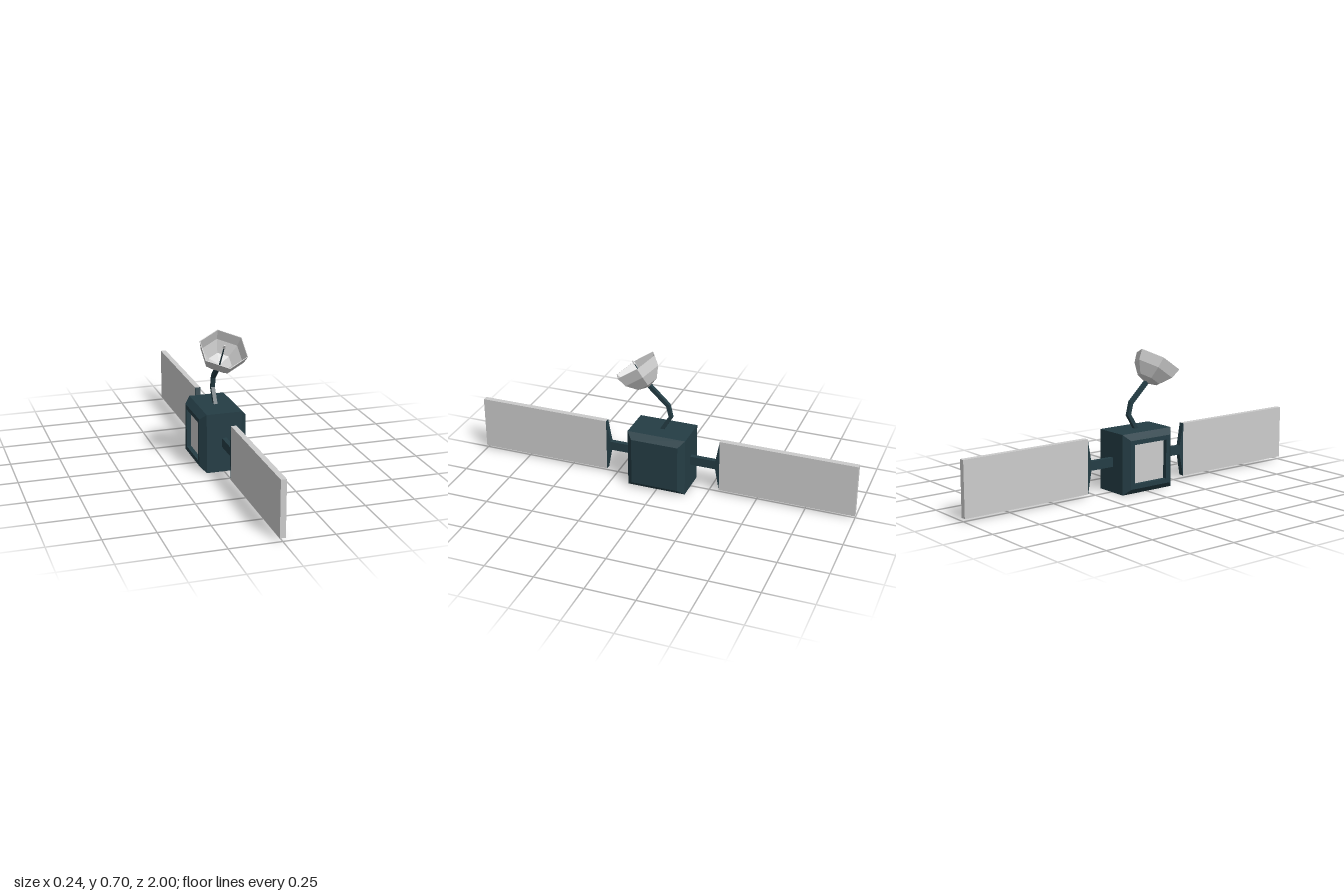
import * as THREE from 'three';

const dark = new THREE.MeshStandardMaterial({ color: 0x243d45, flatShading: true });
const grey = new THREE.MeshStandardMaterial({ color: 0xcccccc, flatShading: true });
const V = (x, y, z) => new THREE.Vector3(x, y, z);

function add(parent, name, geometry, material, x = 0, y = 0, z = 0) {
  const mesh = new THREE.Mesh(geometry, material);
  mesh.name = name;
  mesh.position.set(x, y, z);
  parent.add(mesh);
  return mesh;
}

// Rectangle around c; the loft advances along u x v
function rect(c, u, v, hu, hv) {
  return [[1, 1], [-1, 1], [-1, -1], [1, -1]].map(([a, b]) =>
    c.clone().addScaledVector(u, a * hu).addScaledVector(v, b * hv));
}

// Skin a run of four-cornered rings and cap both ends
function loft(rings) {
  const points = [];
  const quad = (a, b, c, d) => points.push(a, b, c, a, c, d);
  for (let i = 0; i < rings.length - 1; i++) {
    const r = rings[i], s = rings[i + 1];
    for (let j = 0; j < 4; j++) {
      const k = (j + 1) % 4;
      quad(r[j], r[k], s[k], s[j]);
    }
  }
  quad(...[...rings[0]].reverse());
  quad(...rings[rings.length - 1]);
  const geometry = new THREE.BufferGeometry().setFromPoints(points);
  geometry.computeVertexNormals();
  return geometry;
}

export function createModel() {
  const model = new THREE.Group();
  model.name = 'satellite';
  const X = V(1, 0, 0), Y = V(0, 1, 0), Z = V(0, 0, 1);

  // Body: bevelled on both sides, with a recess on its right side
  const sections = [[0.12, 0.1225], [0.09, 0.1525], [-0.09, 0.1525],
    [-0.12, 0.1225], [-0.12, 0.1], [-0.095, 0.1]];
  add(model, 'body', loft(sections.map(([x, h]) => rect(V(x, 0, 0), Z, Y, h, h))),
    dark, 0, 0.1525, 0.0025);
  add(model, 'recessedPanel', new THREE.BoxGeometry(0.01, 0.2, 0.2), grey, -0.092, 0.1525, 0.0025);

  // Solar wings: flared arm and panel, front and back
  for (const side of ['front', 'back']) {
    const wing = new THREE.Group();
    wing.name = side + 'Wing';
    wing.position.y = 0.154;
    if (side === 'back') wing.rotation.y = Math.PI;
    const arm = [[0.14, 0.012, 0.023], [0.282, 0.012, 0.023], [0.304, 0.014, 0.138]];
    add(wing, side + 'Arm', loft(arm.map(([z, w, h]) => rect(V(0, 0, z), X, Y, w, h))), dark);
    add(wing, side + 'Panel', new THREE.BoxGeometry(0.028, 0.276, 0.696), grey, 0, 0, 0.652);
    model.add(wing);
  }

  // Bent neck
  const path = [[0.285, 0.013], [0.378, -0.043], [0.438, -0.028], [0.53, 0.07]]
    .map(([y, z]) => V(0, y, z));
  const neck = path.map((p, i) => {
    const before = path[Math.max(i - 1, 0)], after = path[Math.min(i + 1, path.length - 1)];
    const across = after.clone().sub(before).normalize().cross(X);
    return rect(p, X, across, 0.01, 0.01);
  });
  add(model, 'neck', loft(neck), dark);

  // Six-sided dish tilted forward, origin at the centre of its rim
  const dish = new THREE.Group();
  dish.name = 'dish';
  dish.position.set(0, 0.63, 0.145);
  dish.rotation.x = 0.604;
  const profile = [[0, -0.129], [0.062, -0.107], [0.109, -0.053], [0.1235, 0],
    [0.1195, 0], [0.105, -0.05], [0.059, -0.101], [0, -0.122]]
    .map(([r, y]) => new THREE.Vector2(r, y));
  add(dish, 'bowl', new THREE.LatheGeometry(profile, 6), grey);

  // Feed rod and its tip
  add(dish, 'feedRod', new THREE.CylinderGeometry(0.003, 0.004, 0.128, 6), dark, 0, -0.061, 0);
  const tip = [[0, 0], [0.007, 0.006], [0.005, 0.018], [0.004, 0.026], [0, 0.026]]
    .map(([r, y]) => new THREE.Vector2(r, y));
  add(dish, 'feedTip', new THREE.LatheGeometry(tip, 6), grey);
  model.add(dish);

  return model;
}
